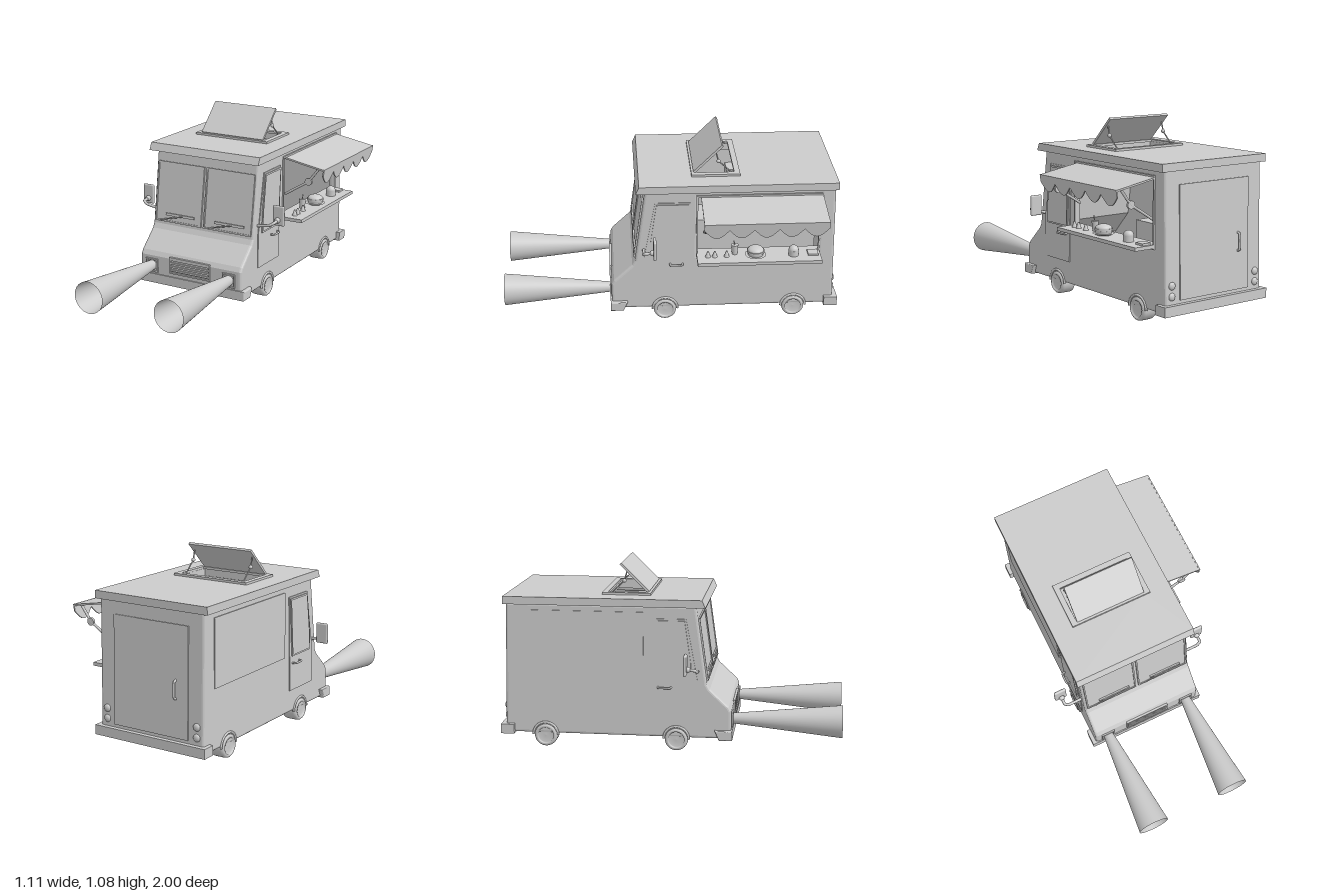
import * as THREE from 'three';
import { RoundedBoxGeometry } from 'three/addons/geometries/RoundedBoxGeometry.js';

const grey = new THREE.MeshStandardMaterial({ color: 0xcccccc });
const thin = new THREE.MeshStandardMaterial({ color: 0xcccccc, side: THREE.DoubleSide });
const V = (x, y, z) => new THREE.Vector3(x, y, z);

function add(parent, name, geo, x = 0, y = 0, z = 0, mat = grey) {
  const m = new THREE.Mesh(geo, mat);
  m.name = name;
  m.position.set(x, y, z);
  parent.add(m);
  return m;
}
// box given by its extents on each axis
const box = (p, name, [x0, x1], [y0, y1], [z0, z1]) =>
  add(p, name, new THREE.BoxGeometry(x1 - x0, y1 - y0, z1 - z0), (x0 + x1) / 2, (y0 + y1) / 2, (z0 + z1) / 2);
const poly = pts => new THREE.Shape(pts.map(p => new THREE.Vector2(...p)));
const rect = (a0, a1, b0, b1) => poly([[a0, b0], [a1, b0], [a1, b1], [a0, b1]]);
const frame = (a0, a1, b0, b1, t) => {
  const s = rect(a0, a1, b0, b1);
  s.holes.push(rect(a0 + t, a1 - t, b0 + t, b1 - t));
  return s;
};
const extrude = (shape, depth, bevel = 0) => new THREE.ExtrudeGeometry(shape, {
  depth: depth - 2 * bevel, bevelEnabled: bevel > 0, bevelSize: bevel, bevelThickness: bevel,
  bevelOffset: -bevel, bevelSegments: 3, curveSegments: 16,
}).translate(0, 0, bevel);
// shape drawn in (z, y), extruded along x from x0 to x1
const side = (p, name, shape, x0, x1, bevel = 0) =>
  add(p, name, extrude(shape, x1 - x0, bevel).rotateY(-Math.PI / 2).translate(x1, 0, 0));
const tube = (p, name, pts, r) =>
  add(p, name, new THREE.TubeGeometry(new THREE.CatmullRomCurve3(pts, false, 'catmullrom', 0.2), 20, r, 8));
// straight rod between two points
function rod(p, name, a, b, r) {
  const m = add(p, name, new THREE.CylinderGeometry(r, r, a.distanceTo(b), 10));
  m.position.copy(a).lerp(b, 0.5);
  m.quaternion.setFromUnitVectors(V(0, 1, 0), b.clone().sub(a).normalize());
}
const ball = (p, name, r, x, y, z) => add(p, name, new THREE.SphereGeometry(r, 20, 14), x, y, z);

export function createModel() {
  const model = new THREE.Group();
  const truck = new THREE.Group();
  truck.name = 'foodTruck';
  truck.position.x = -0.06;
  model.add(truck);

  // Body: two side walls, and a U-shaped strip for rear, floor, nose and windscreen
  const outline = [[-0.955, 0.86], [-0.975, 0.08], [0.36, 0.08], [0.36, 0.245], [0.345, 0.272],
    [0.235, 0.375], [0.218, 0.405], [0.155, 0.86]];
  const inner = [[0.135, 0.86], [0.195, 0.4], [0.325, 0.26], [0.335, 0.11], [-0.95, 0.11], [-0.93, 0.86]];
  side(truck, 'closedSideWall', poly(outline), -0.35, -0.31, 0.015);
  const open = poly(outline);
  open.holes.push(rect(-0.87, -0.15, 0.43, 0.82));
  side(truck, 'servingSideWall', open, 0.31, 0.35, 0.015);
  side(truck, 'bodyShell', poly([...outline, ...inner]), -0.335, 0.335);

  // Roof with hatch opening, its front edge leaning back
  const roofShape = rect(-0.375, 0.375, -0.21, 0.967);
  roofShape.holes.push(rect(-0.215, 0.215, 0.14, 0.385));
  const roofGeo = extrude(roofShape, 0.045).rotateX(-Math.PI / 2).translate(0, 0.854, 0);
  const pos = roofGeo.attributes.position;
  for (let i = 0; i < pos.count; i++)
    if (pos.getZ(i) > 0.2 && pos.getY(i) > 0.88) pos.setZ(i, 0.19);
  roofGeo.computeVertexNormals();
  add(truck, 'roof', roofGeo);

  // Roof hatch
  add(truck, 'hatchFrame', extrude(frame(-0.25, 0.25, 0.12, 0.405, 0.033), 0.014).rotateX(-Math.PI / 2), 0, 0.898, 0);
  const lid = add(truck, 'hatchLid', new THREE.BoxGeometry(0.43, 0.014, 0.232).translate(0, 0, -0.116), 0, 0.912, -0.137);
  lid.rotation.x = Math.PI / 4;
  for (const s of [-1, 1]) {
    const joint = V(s * 0.2, 0.975, -0.28);
    rod(truck, 'hatchStrut', V(s * 0.2, 0.905, -0.355), joint, 0.004);
    rod(truck, 'hatchStrut', joint, V(s * 0.2, 1.03, -0.265), 0.004);
    ball(truck, 'hatchStrutJoint', 0.012, joint.x, joint.y, joint.z);
  }

  // Windscreen panes and wipers on the sloping front
  const screen = new THREE.Group();
  screen.name = 'windscreen';
  screen.position.set(0, 0.4, 0.219);
  screen.rotation.x = -Math.atan2(0.063, 0.455);
  truck.add(screen);
  for (const x of [-0.335, 0.008]) {
    add(screen, 'windscreenFrame', extrude(frame(x, x + 0.327, 0.022, 0.39, 0.009), 0.01));
    box(screen, 'windscreenGlass', [x + 0.008, x + 0.319], [0.03, 0.382], [-0.002, 0.004]);
    box(screen, 'wiperBlade', [x + 0.08, x + 0.28], [0.063, 0.078], [0.006, 0.016]);
    rod(screen, 'wiperArm', V(x + 0.04, 0.03, 0.01), V(x + 0.2, 0.07, 0.018), 0.004);
  }

  // Grille
  add(truck, 'grilleFrame', extrude(frame(-0.14, 0.14, 0.155, 0.257, 0.009), 0.014), 0, 0, 0.356);
  for (let i = 0; i < 4; i++)
    box(truck, 'grilleBar', [-0.132, 0.132], [0.17 + i * 0.022, 0.181 + i * 0.022], [0.355, 0.367]);

  // Bumpers
  side(truck, 'frontBumper', poly([[0.367, 0.075], [0.29, 0.075], [0.265, 0.132], [0.367, 0.132]]), -0.374, 0.374, 0.006);
  box(truck, 'rearBumper', [-0.374, 0.374], [0.075, 0.132], [-1, -0.92]);

  for (const s of [-1, 1]) {
    // Headlights with long flared beams
    add(truck, 'headlightSocket', extrude(frame(-0.042, 0.042, -0.042, 0.042, 0.009), 0.014), s * 0.268, 0.185, 0.355);
    ball(truck, 'headlight', 0.03, s * 0.268, 0.185, 0.365);
    add(truck, 'headlightBeam', new THREE.CylinderGeometry(0.095, 0.03, 0.64, 40, 1, true).rotateX(Math.PI / 2),
      s * 0.268, 0.185, 0.68, thin);

    // Cab doors
    const at = (a, b) => s > 0 ? [a, b] : [-b, -a];
    const door = [[0.165, 0.215], [-0.09, 0.215], [-0.107, 0.785], [0.098, 0.785], [0.165, 0.42]];
    side(truck, 'cabDoor', poly(door), ...at(0.345, 0.355));
    const pane = [[0.125, 0.425], [-0.075, 0.425], [-0.1, 0.775], [0.09, 0.775], [0.125, 0.53]];
    const rim = poly(pane);
    rim.holes.push(poly(pane.map(([z, y]) => [0.012 + (z - 0.012) * 0.9, 0.6 + (y - 0.6) * 0.94])));
    side(truck, 'doorWindowFrame', rim, ...at(0.35, 0.362));
    tube(truck, 'doorHandle', [V(s * 0.35, 0.382, 0.01), V(s * 0.376, 0.382, 0.006),
      V(s * 0.376, 0.382, -0.06), V(s * 0.35, 0.382, -0.065)], 0.006);

    // Wing mirrors
    add(truck, 'wingMirror', new RoundedBoxGeometry(0.076, 0.122, 0.018, 4, 0.009), s * 0.457, 0.541, 0.104);
    tube(truck, 'mirrorArm', [V(s * 0.455, 0.515, 0.11), V(s * 0.455, 0.51, 0.16),
      V(s * 0.43, 0.495, 0.17), V(s * 0.345, 0.478, 0.165)], 0.009);
    ball(truck, 'mirrorJoint', 0.017, s * 0.455, 0.515, 0.118);

    // Tail lights
    for (const y of [0.175, 0.235])
      add(truck, 'tailLight', new THREE.SphereGeometry(0.022, 18, 12).scale(1, 1, 0.6), s * 0.305, y, -0.972);

    // Wheels and arches
    for (const z of [0.04, -0.735]) {
      const tyre = [[0.045, -0.048], [0.058, -0.048], [0.066, -0.04], [0.068, -0.03], [0.068, 0.03],
        [0.066, 0.04], [0.058, 0.048], [0.047, 0.048], [0.045, 0.036], [0, 0.04]];
      add(truck, 'wheel', new THREE.LatheGeometry(tyre.map(p => new THREE.Vector2(...p)), 32)
        .rotateZ(-s * Math.PI / 2), s * 0.31, 0.068, z, thin);
      add(truck, 'wheelArch', new THREE.TorusGeometry(0.074, 0.007, 8, 28, Math.PI).rotateY(Math.PI / 2), s * 0.35, 0.072, z);
      add(truck, 'axleHub', new THREE.CylinderGeometry(0.036, 0.036, 0.04, 20).rotateZ(Math.PI / 2), s * 0.252, 0.068, z);
    }
  }
  for (const z of [0.04, -0.735])
    add(truck, 'axle', new THREE.CylinderGeometry(0.016, 0.016, 0.5, 16).rotateZ(Math.PI / 2), 0, 0.066, z);

  // Rear door, leaning with the rear wall
  const rear = new THREE.Group();
  rear.name = 'rearDoor';
  rear.position.set(0, 0.08, -0.975);
  rear.rotation.x = Math.atan2(0.02, 0.78);
  truck.add(rear);
  box(rear, 'rearDoorPanel', [-0.25, 0.25], [0.07, 0.7], [-0.006, 0.01]);
  tube(rear, 'rearDoorHandle', [V(-0.17, 0.29, 0), V(-0.17, 0.3, -0.022), V(-0.17, 0.385, -0.022), V(-0.17, 0.395, 0)], 0.007);

  // Fixed panel on the closed side
  box(truck, 'sidePanel', [-0.355, -0.345], [0.43, 0.82], [-0.87, -0.15]);

  // Serving hatch: trim, counter and interior fittings
  side(truck, 'servingHatchTrim', frame(-0.877, -0.143, 0.423, 0.827, 0.01), 0.34, 0.356);
  box(truck, 'counter', [0.3, 0.48], [0.43, 0.45], [-0.875, -0.145]);
  side(truck, 'wallCabinet', frame(-0.61, -0.37, 0.535, 0.725, 0.01), -0.31, -0.2);
  for (const y of [0.63, 0.645]) box(truck, 'cabinetShelf', [-0.31, -0.2], [y, y + 0.006], [-0.61, -0.37]);
  box(truck, 'kitchenBench', [-0.31, -0.1], [0.11, 0.43], [-0.93, -0.15]);

  // Awning with scalloped edge and folding arms
  side(truck, 'awningFlap', poly([[-0.17, 0], [-0.88, 0], [-0.88, 0.01], [-0.17, 0.01]]), 0, 0.266)
    .position.set(0.348, 0.808, 0);
  truck.children.at(-1).rotation.z = -Math.atan2(0.046, 0.262);
  const edge = [[-0.88, 0.006], [-0.17, 0.006]];
  for (let i = 0; i <= 60; i++)
    edge.push([-0.17 - 0.71 * i / 60, -0.035 - 0.055 * Math.abs(Math.sin(Math.PI * i / 12))]);
  const valance = side(truck, 'awningValance', poly(edge), -0.008, 0);
  valance.position.set(0.612, 0.767, 0);
  valance.rotation.z = -0.15;
  for (const z of [-0.19, -0.86]) {
    const elbow = V(0.5, 0.682, z);
    rod(truck, 'awningArm', V(0.345, 0.585, z), elbow, 0.008);
    rod(truck, 'awningArm', elbow, V(0.568, 0.772, z), 0.008);
    add(truck, 'awningArmJoint', new THREE.CylinderGeometry(0.023, 0.023, 0.014, 20).rotateX(Math.PI / 2), 0.5, 0.682, z);
  }

  // Food and tableware on the counter
  const disc = (name, r0, r1, h, x, y, z) => add(truck, name, new THREE.CylinderGeometry(r1, r0, h, 24), x, y + h / 2, z);
  disc('plate', 0.04, 0.062, 0.01, 0.4, 0.45, -0.49);
  disc('bunBase', 0.045, 0.048, 0.016, 0.4, 0.46, -0.49);
  disc('patty', 0.052, 0.052, 0.012, 0.4, 0.477, -0.49);
  add(truck, 'bunTop', new THREE.SphereGeometry(0.048, 24, 8, 0, Math.PI * 2, 0, Math.PI / 2).scale(1, 0.5, 1), 0.4, 0.489, -0.49);
  disc('drinkCup', 0.016, 0.021, 0.06, 0.37, 0.45, -0.37);
  rod(truck, 'drinkStraw', V(0.37, 0.46, -0.37), V(0.375, 0.54, -0.365), 0.003);
  disc('jar', 0.03, 0.03, 0.035, 0.4, 0.45, -0.715);
  ball(truck, 'jarLid', 0.03, 0.4, 0.483, -0.715);
  for (const z of [-0.21, -0.25, -0.32]) disc('sauceBottle', 0.016, 0.005, 0.035, 0.4, 0.45, z);
  box(truck, 'napkins', [0.36, 0.42], [0.45, 0.462], [-0.86, -0.8]);

  return model;
}
